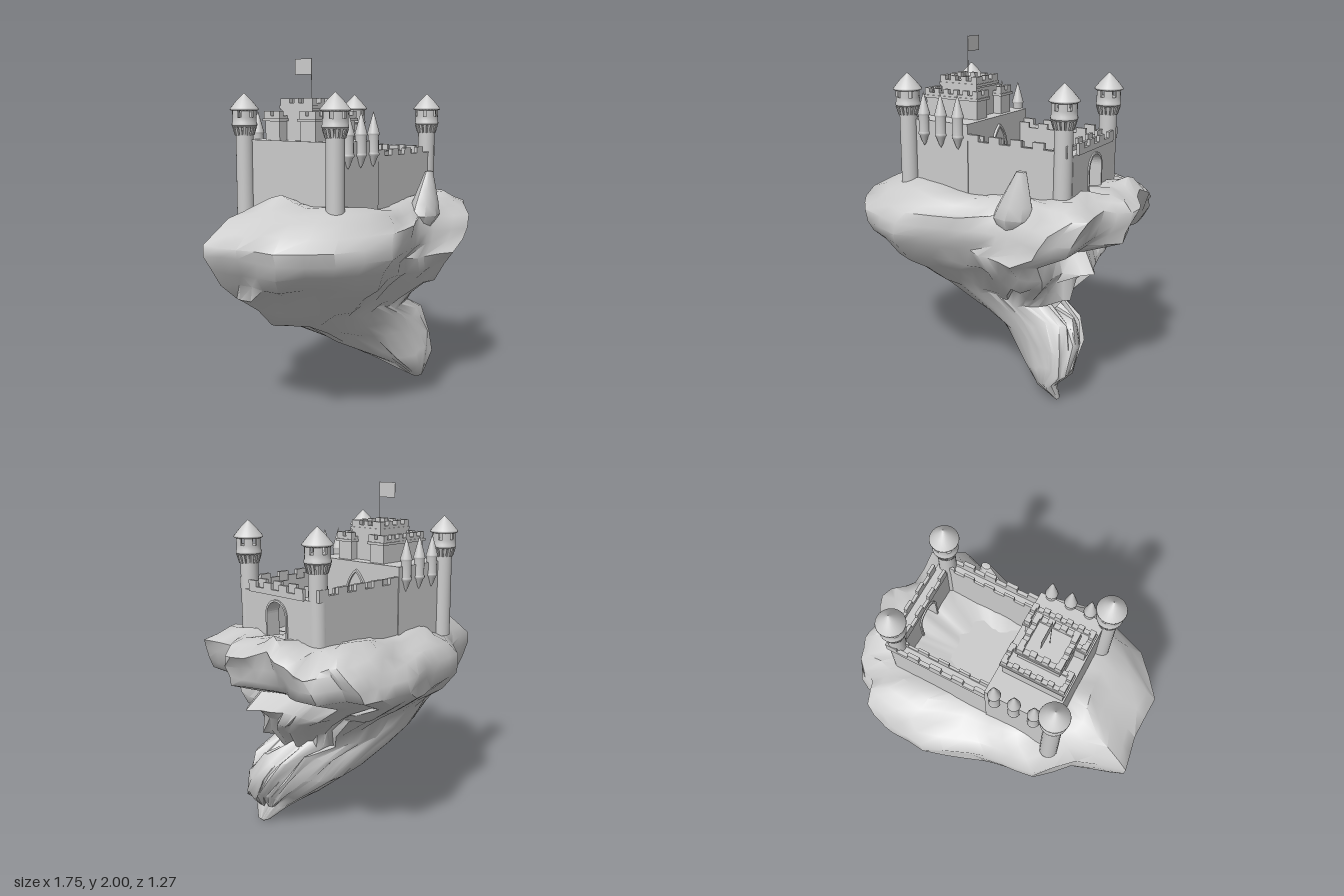
import * as THREE from 'three';
import { toCreasedNormals } from 'three/addons/utils/BufferGeometryUtils.js';

const grey = new THREE.MeshStandardMaterial({ color: 0xcccccc, side: THREE.DoubleSide });

function add(parent, geometry, name, x = 0, y = 0, z = 0) {
  const m = new THREE.Mesh(geometry, grey);
  m.name = name;
  m.position.set(x, y, z);
  parent.add(m);
  return m;
}

// Box given by its limits on each axis
function block(parent, name, x0, x1, y0, y1, z0, z1) {
  return add(parent, new THREE.BoxGeometry(x1 - x0, y1 - y0, z1 - z0), name,
    (x0 + x1) / 2, (y0 + y1) / 2, (z0 + z1) / 2);
}

function group(parent, name) {
  const g = new THREE.Group();
  g.name = name;
  parent.add(g);
  return g;
}

const lathe = (pts, n) => new THREE.LatheGeometry(pts.map(p => new THREE.Vector2(...p)), n);

// Low parapet with evenly spaced merlons along its longer side
function parapet(parent, x0, x1, z0, z1, y0, y1, y2, n) {
  block(parent, 'parapet', x0, x1, y0, y1, z0, z1);
  const alongX = x1 - x0 > z1 - z0;
  const a = alongX ? x0 : z0, step = ((alongX ? x1 : z1) - a) / (n - 0.5);
  for (let i = 0; i < n; i++) {
    const s = a + i * step, e = s + step / 2;
    if (alongX) block(parent, 'merlon', s, e, y1, y2, z0, z1);
    else block(parent, 'merlon', x0, x1, y1, y2, s, e);
  }
}

// Four parapets round a rectangle
function battlement(parent, x0, x1, z0, z1, y0, y1, y2, t, nx, nz) {
  parapet(parent, x0, x1, z0, z0 + t, y0, y1, y2, nx);
  parapet(parent, x0, x1, z1 - t, z1, y0, y1, y2, nx);
  parapet(parent, x0, x0 + t, z0 + t, z1 - t, y0, y1, y2, nz);
  parapet(parent, x1 - t, x1, z0 + t, z1 - t, y0, y1, y2, nz);
}

// Arch outline: round or pointed
function archPath(path, w, y0, spring, top, pointed) {
  path.moveTo(-w, y0);
  path.lineTo(w, y0);
  path.lineTo(w, spring);
  if (pointed) {
    path.quadraticCurveTo(w * .9, top - .05, 0, top);
    path.quadraticCurveTo(-w * .9, top - .05, -w, spring);
  } else path.absarc(0, spring, w, 0, Math.PI, false);
  path.lineTo(-w, y0);
  return path;
}

// Extruded shape standing in the z-y plane, thickness along x
function sideways(parent, shape, depth, name, x) {
  const geo = new THREE.ExtrudeGeometry(shape, { depth, bevelEnabled: false, curveSegments: 10 });
  geo.rotateY(Math.PI / 2);
  return add(parent, geo, name, x);
}

function archFrame(parent, x, w, y0, spring, top, pointed, name) {
  const shape = archPath(new THREE.Shape(), w + 0.012, y0, spring, top + 0.015, pointed);
  shape.holes.push(archPath(new THREE.Path(), w, y0 + 0.002, spring, top, pointed));
  sideways(parent, shape, 0.016, name, x);
}

function seeded(seed) {
  return () => (seed = (seed * 16807) % 2147483647) / 2147483647;
}

// Floating rock: one outline fitted to a box at every height
function rock(parent) {
  const corners = [[-.89, -.21], [-.59, -.29], [-.4, -.47], [-.2, -.5], [-.02, -.53], [.27, -.64],
    [.48, -.62], [.6, -.6], [.63, -.5], [.79, -.44], [.81, -.3], [.79, -.2], [.82, -.05], [.88, .12],
    [.74, .24], [.74, .5], [.58, .58], [.35, .49], [.2, .49], [0, .55], [-.32, .63], [-.65, .5],
    [-.86, .27], [-.85, 0]];
  const outline = [];
  corners.forEach(([x, z], i) => {
    const [nx, nz] = corners[(i + 1) % corners.length];
    outline.push([x, z], [(x + nx) / 2, (z + nz) / 2]);
  });
  // y, x from, x to, z from, z to, roughness
  const layers = [[0, .505, .515, .25, .26, 0], [.015, .48, .53, .22, .29, 0], [.1, .35, .51, .15, .34, .03],
    [.2, .19, .61, .02, .34, .04], [.33, -.03, .635, -.13, .32, .05], [.45, -.26, .58, -.18, .29, .05],
    [.53, -.46, .44, -.21, .28, .05], [.62, -.59, .53, -.25, .34, .05], [.72, -.7, .6, -.38, .45, .05],
    [.79, -.76, .65, -.5, .54, .04], [.87, -.82, .61, -.61, .6, .03], [.95, -.87, .8, -.635, .63, .015],
    [1.01, -.89, .84, -.635, .63, .015], [1.08, -.82, .87, -.59, .6, .02], [1.14, -.72, .885, -.53, .55, .02],
    [1.18, -.64, .8, -.47, .5, .02], [1.205, -.54, .72, -.4, .44, .02], [1.195, -.4, .52, -.28, .3, .02],
    [1.15, -.2, .32, -.18, .18, 0], [1.12, -.01, .01, -.01, .01, 0]];
  // Rises and dips of the rim: x, z, height, radius
  const bumps = [[.73, -.15, .08, .08], [-.5, .02, .05, .1], [.63, .2, .03, .07],
    [.02, .45, -.06, .22], [.02, -.45, -.05, .22], [.75, -.42, -.09, .08]];
  const rnd = seeded(4711), pos = [], index = [], n = outline.length;
  for (const [y, x0, x1, z0, z1, rough] of layers) {
    let r = 0, dy = 0;
    outline.forEach(([ox, oz], j) => {
      // One random step per pair of points gives broad facets
      if (j % 2 === 0) { r = rnd() * 2 - 1.1; dy = rnd() * 2 - 1; }
      let u = ox / .885, v = oz / .635;
      // Rounder and turned to a diagonal towards the foot
      const k = THREE.MathUtils.smoothstep(y, .3, .95), len = Math.hypot(u, v), turn = .6 * (1 - k);
      const s = THREE.MathUtils.lerp(1 / len, 1, k) * (1 + rough * r * (u > 0 ? 1.6 : 1));
      u *= s; v *= s;
      v = v * Math.cos(turn) + u * Math.sin(turn);
      const x = (x0 + x1) / 2 + u * (x1 - x0) / 2, z = (z0 + z1) / 2 + v * (z1 - z0) / 2;
      let h = y + rough * .6 * dy;
      if (y > 1.1) for (const [bx, bz, bh, br] of bumps)
        h += bh * Math.exp(-((x - bx) ** 2 + (z - bz) ** 2) / br ** 2);
      pos.push(x, h, z);
    });
  }
  for (let i = 0; i < layers.length - 1; i++) for (let j = 0; j < n; j++) {
    const a = i * n + j, b = i * n + (j + 1) % n, c = a + n, d = b + n;
    index.push(a, c, b, b, c, d);
  }
  const geo = new THREE.BufferGeometry();
  geo.setAttribute('position', new THREE.Float32BufferAttribute(pos, 3));
  geo.setIndex(index);
  add(parent, toCreasedNormals(geo, 0.9), 'floatingRock');

  // Spire on the front rim, flattened and leaning
  const spire = lathe([[0, .95], [.07, 1.03], [.12, 1.1], [.1, 1.17], [.07, 1.25], [.03, 1.355], [0, 1.36]], 8);
  const p = spire.attributes.position;
  for (let i = 0; i < p.count; i++) p.setX(i, p.getX(i) + .2 * (p.getY(i) - 1.2));
  spire.scale(1, 1, .7);
  add(parent, toCreasedNormals(spire, 0.8), 'spire', .325, 0, .415);
}

// Round corner tower with corbels, open lookout and cone roof
function cornerTower(parent, x, z) {
  const t = group(parent, 'cornerTower');
  t.position.set(x, 0, z);
  add(t, lathe([[.051, 1.1], [.05, 1.58], [.052, 1.62]], 24), 'shaft');
  for (let i = 0; i < 16; i++) {
    const a = i * Math.PI / 8;
    const c = add(t, new THREE.BoxGeometry(.01, .05, .016), 'corbel', Math.cos(a) * .058, 1.6, Math.sin(a) * .058);
    c.rotation.set(0, -a, -.3, 'YXZ');
  }
  add(t, toCreasedNormals(lathe([[0, 1.62], [.064, 1.62], [.072, 1.63], [.072, 1.64], [.068, 1.648], [.068, 1.675],
    [.058, 1.675], [.058, 1.64], [0, 1.64]], 24), 0.6), 'drum');
  for (let i = 0; i < 6; i++) for (const r of [.058, .068])
    add(t, new THREE.CylinderGeometry(r, r, .04, 5, 1, true, i * Math.PI / 3, .72), 'lookoutPier', 0, 1.695, 0);
  add(t, lathe([[0, 1.712], [.072, 1.712], [.082, 1.718], [.08, 1.725], [.045, 1.767], [0, 1.812]], 24), 'coneRoof');
}

export function createModel() {
  const model = new THREE.Group();
  rock(group(model, 'rock'));
  const castle = group(model, 'castle');

  // Keep body and stepped upper storeys
  const keep = group(castle, 'keep');
  block(keep, 'keepBody', -.43, -.04, 1.08, 1.55, -.325, .325);
  block(keep, 'upperCore', -.36, -.12, 1.55, 1.72, -.11, .11);
  for (const s of [-1, 1]) {
    const z0 = s > 0 ? .075 : -.18, z1 = s > 0 ? .18 : -.075;
    block(keep, 'sideBlock', -.42, -.07, 1.55, 1.665, z0, z1);
    block(keep, 'sideCornice', -.432, -.058, 1.655, 1.67, z0 - .012, z1 + .012);
    battlement(keep, -.425, -.065, z0 - .006, z1 + .006, 1.67, 1.685, 1.71, .025, 6, 2);
  }
  block(keep, 'topCornice', -.37, -.11, 1.725, 1.74, -.12, .12);
  battlement(keep, -.365, -.115, -.115, .115, 1.715, 1.755, 1.78, .03, 4, 3);

  // Pointed keep door
  sideways(keep, archPath(new THREE.Shape(), .068, 1.13, 1.36, 1.49, true), .006, 'keepDoor', -.041);
  archFrame(keep, -.041, .068, 1.13, 1.36, 1.49, true, 'keepDoorFrame');

  // Hanging turrets along both keep sides
  const turret = lathe([[0, 1.405], [.01, 1.42], [.027, 1.465], [.034, 1.472], [.034, 1.482], [.03, 1.488],
    [.03, 1.578], [.036, 1.585], [.034, 1.592], [.018, 1.65], [0, 1.712]], 16);
  for (const z of [-.325, .33]) for (const x of [-.33, -.215, -.1]) add(keep, turret, 'hangingTurret', x, 0, z);

  // Courtyard floor and side walls with double parapets
  block(castle, 'courtyardFloor', -.05, .54, 1.08, 1.152, -.29, .29);
  for (const s of [-1, 1]) {
    const wall = group(castle, 'sideWall');
    const span = (a, b) => s > 0 ? [a, b] : [-b, -a];
    block(wall, 'wallBody', -.04, .53, 1.08, 1.435, ...span(.25, .32));
    parapet(wall, -.04, .57, ...span(.3, .322), 1.43, 1.46, 1.495, 5);
    parapet(wall, -.04, .53, ...span(.248, .262), 1.43, 1.45, 1.48, 5);
  }

  // Gate wall with a round arch through it
  const gate = group(castle, 'gateWall');
  const wallShape = new THREE.Shape([[-.27, 1.08], [.27, 1.08], [.27, 1.435], [-.27, 1.435]]
    .map(p => new THREE.Vector2(...p)));
  wallShape.holes.push(archPath(new THREE.Path(), .074, 1.1, 1.322, 1.396, false));
  sideways(gate, wallShape, .07, 'gateWallBody', .51);
  for (const x of [.502, .572]) {
    archFrame(gate, x, .074, 1.1, 1.322, 1.396, false, 'gateArch');
    parapet(gate, x, x + .018, -.22, .22, 1.43, 1.46, 1.493, 4);
  }

  // Corner towers
  for (const [x, z] of [[-.44, -.325], [-.44, .33], [.53, -.27], [.53, .285]]) cornerTower(castle, x, z);

  // Flagpole and flag
  add(castle, new THREE.CylinderGeometry(.002, .002, .29, 8), 'flagpole', -.243, 1.855, .008);
  block(castle, 'flag', -.2435, -.2425, 1.912, 1.999, -.112, .008);
  return model;
}
